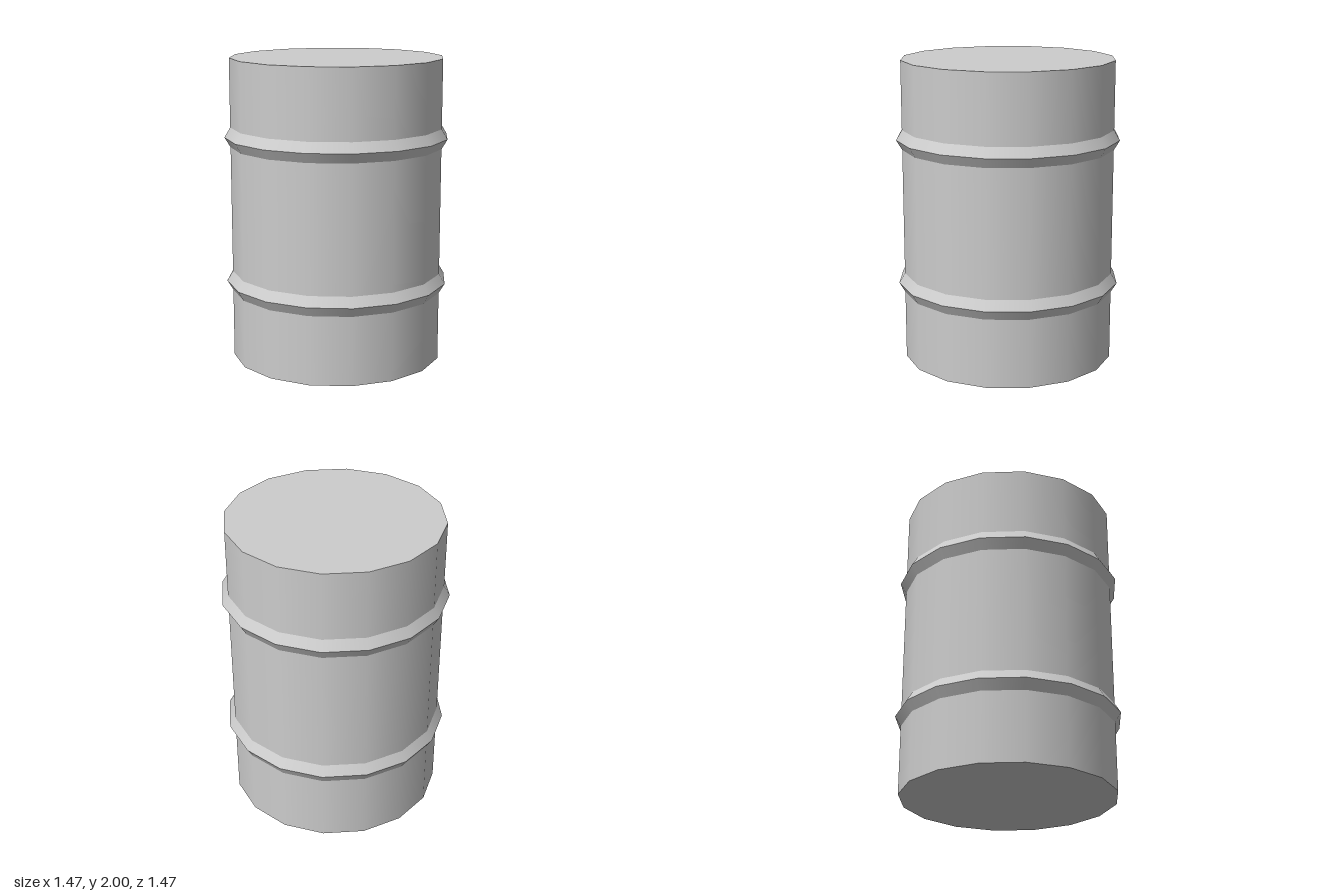
import * as THREE from 'three';

const SIDES = 16;
const R = 0.698; // wall radius
const RIB = 0.737; // rib crest radius

export function createModel() {
  const drum = new THREE.Group();
  drum.name = 'drum';
  const steel = new THREE.MeshStandardMaterial({ color: 0xcccccc });
  steel.name = 'greySteel';

  // one open ring of the shell, smooth around and creased at its rims
  const ring = (name, y0, r0, y1, r1) => {
    const mesh = new THREE.Mesh(new THREE.CylinderGeometry(r1, r0, y1 - y0, SIDES, 1, true), steel);
    mesh.position.y = (y0 + y1) / 2;
    mesh.name = name;
    drum.add(mesh);
  };

  // flat end
  const end = (name, y, tilt) => {
    const mesh = new THREE.Mesh(new THREE.CircleGeometry(R, SIDES), steel);
    mesh.rotation.x = tilt;
    mesh.position.y = y;
    mesh.name = name;
    drum.add(mesh);
  };

  // straight walls
  ring('lowerWall', 0, R, 0.455, R);
  ring('middleWall', 0.585, R, 1.42, R);
  ring('upperWall', 1.55, R, 2, R);

  // V-shaped rolling ribs
  for (const [name, y] of [['lowerRib', 0.52], ['upperRib', 1.485]]) {
    ring(name + 'Underside', y - 0.065, R, y, RIB);
    ring(name + 'Top', y, RIB, y + 0.065, R);
  }

  end('lid', 2, -Math.PI / 2);
  end('base', 0, Math.PI / 2);
  return drum;
}
